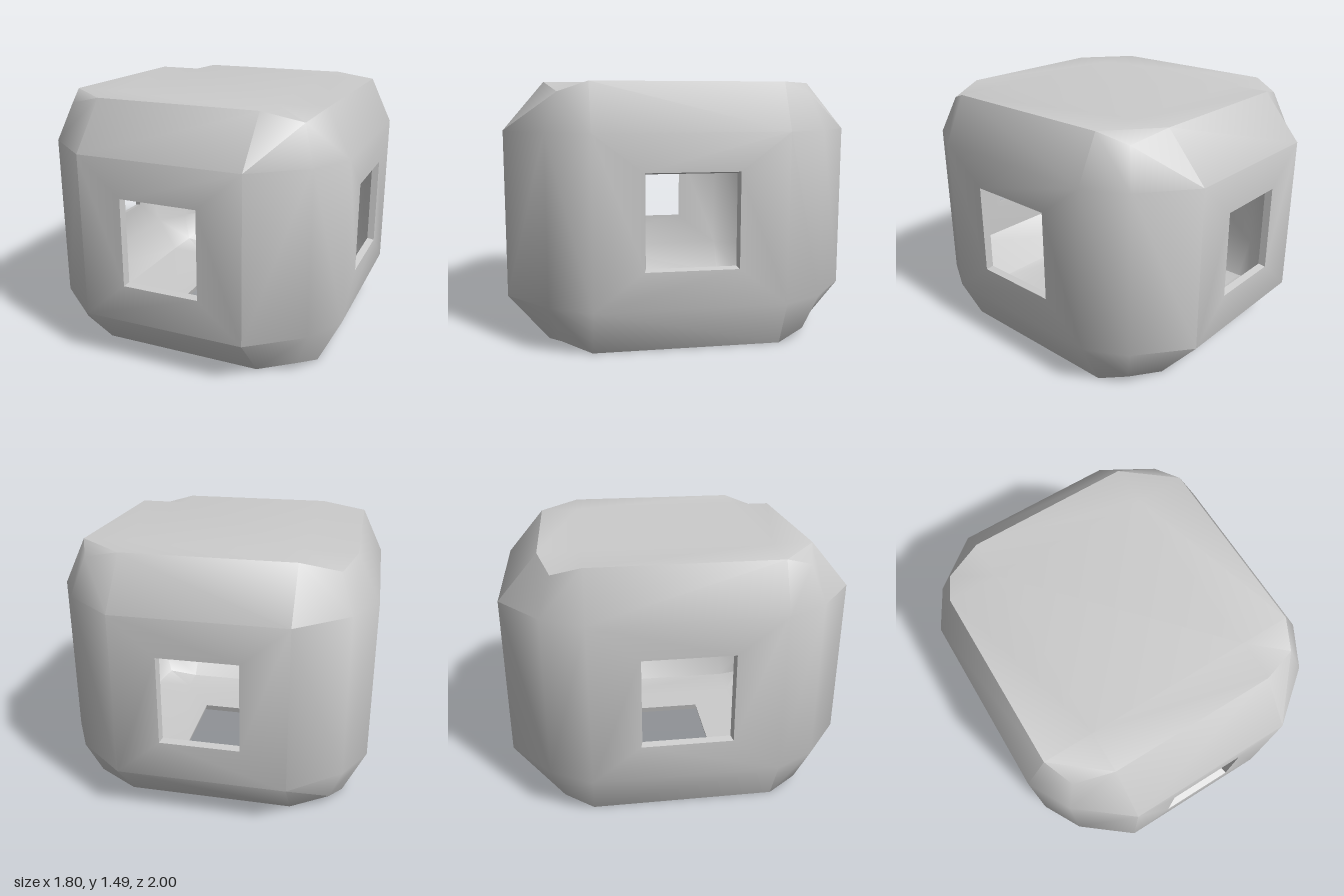
import * as THREE from 'three';
import { toCreasedNormals } from 'three/addons/utils/BufferGeometryUtils.js';

const HALF_HEIGHT = 0.7425;
const THICKNESS = 0.04;

// Distances from the centre along x, y, z
const INNER = [0.48, 0.475, 0.535];          // middle panel corners
const FACE = [0.9, HALF_HEIGHT, 1];          // flat middle of each side
const EDGE = [0.77, HALF_HEIGHT, 0.77];      // chamfered edges
const CORNER = [0.7, 0.6875, 0.7];           // cut-in corners

// Lattice steps are -2, -1, 1, 2; a step of 2 lies on the surface boundary
function latticePoint(steps, inset) {
  const outerCount = steps.filter((s) => Math.abs(s) === 2).length;
  const table = [null, FACE, EDGE, CORNER][outerCount];
  return steps.map((s, k) =>
    Math.sign(s) * (Math.abs(s) === 2 ? table[k] - inset : INNER[k]));
}

// Half sizes of the openings, in the (u, v) order of each face
function windowSize(axis, sign) {
  if (axis === 0) return [0.265, 0.26];              // sides: y, z
  if (axis === 2) return [0.225, 0.255];             // front and back: x, y
  return sign < 0 ? [0.265, 0.28] : null;            // floor: z, x; roof is closed
}

function createModel() {
  const group = new THREE.Group();
  group.name = 'hollowBlock';
  const material = new THREE.MeshStandardMaterial({ color: 0xcccccc });
  const outer = [], inner = [], frames = [];

  const quad = (list, a, b, c, d, flip) => {
    const p = flip ? [a, d, c, b] : [a, b, c, d];
    for (const i of [0, 1, 2, 0, 2, 3]) list.push(...p[i]);
  };

  const steps = [-2, -1, 1, 2];
  const signs = [[-1, -1], [1, -1], [1, 1], [-1, 1]];
  for (let axis = 0; axis < 3; axis++) {
    const u = (axis + 1) % 3, v = (axis + 2) % 3;
    for (const sign of [-1, 1]) {
      const size = windowSize(axis, sign);
      const rims = [];
      for (const inset of [0, THICKNESS]) {
        const list = inset ? inner : outer;
        const flip = (sign < 0) !== (inset > 0);
        const at = (i, j) => {
          const s = [0, 0, 0];
          s[axis] = 2 * sign; s[u] = steps[i]; s[v] = steps[j];
          return latticePoint(s, inset);
        };
        // Opening outline, slightly narrower on the inside
        const rim = size && signs.map(([su, sv]) => {
          const p = [0, 0, 0];
          const taper = inset ? 0.01 : 0;
          p[axis] = sign * (FACE[axis] - inset);
          p[u] = su * (size[0] - taper);
          p[v] = sv * (size[1] - taper);
          return p;
        });
        rims.push(rim);

        // Three by three panels, the middle one cut by the opening
        for (let i = 0; i < 3; i++) for (let j = 0; j < 3; j++) {
          const c = [at(i, j), at(i + 1, j), at(i + 1, j + 1), at(i, j + 1)];
          if (i === 1 && j === 1 && rim) {
            for (let k = 0; k < 4; k++) {
              const n = (k + 1) % 4;
              quad(list, c[k], c[n], rim[n], rim[k], flip);
            }
          } else quad(list, ...c, flip);
        }
      }
      // Reveal through the wall thickness
      if (size) for (let k = 0; k < 4; k++) {
        const n = (k + 1) % 4;
        quad(frames, rims[0][k], rims[0][n], rims[1][n], rims[1][k], sign < 0);
      }
    }
  }

  const addMesh = (name, positions) => {
    const geometry = new THREE.BufferGeometry();
    geometry.setAttribute('position', new THREE.Float32BufferAttribute(positions, 3));
    const mesh = new THREE.Mesh(toCreasedNormals(geometry, Math.PI / 4), material);
    mesh.name = name;
    mesh.position.y = HALF_HEIGHT;
    group.add(mesh);
  };
  addMesh('outerShell', outer);
  addMesh('innerShell', inner);
  addMesh('windowReveals', frames);
  return group;
}

export { createModel };
